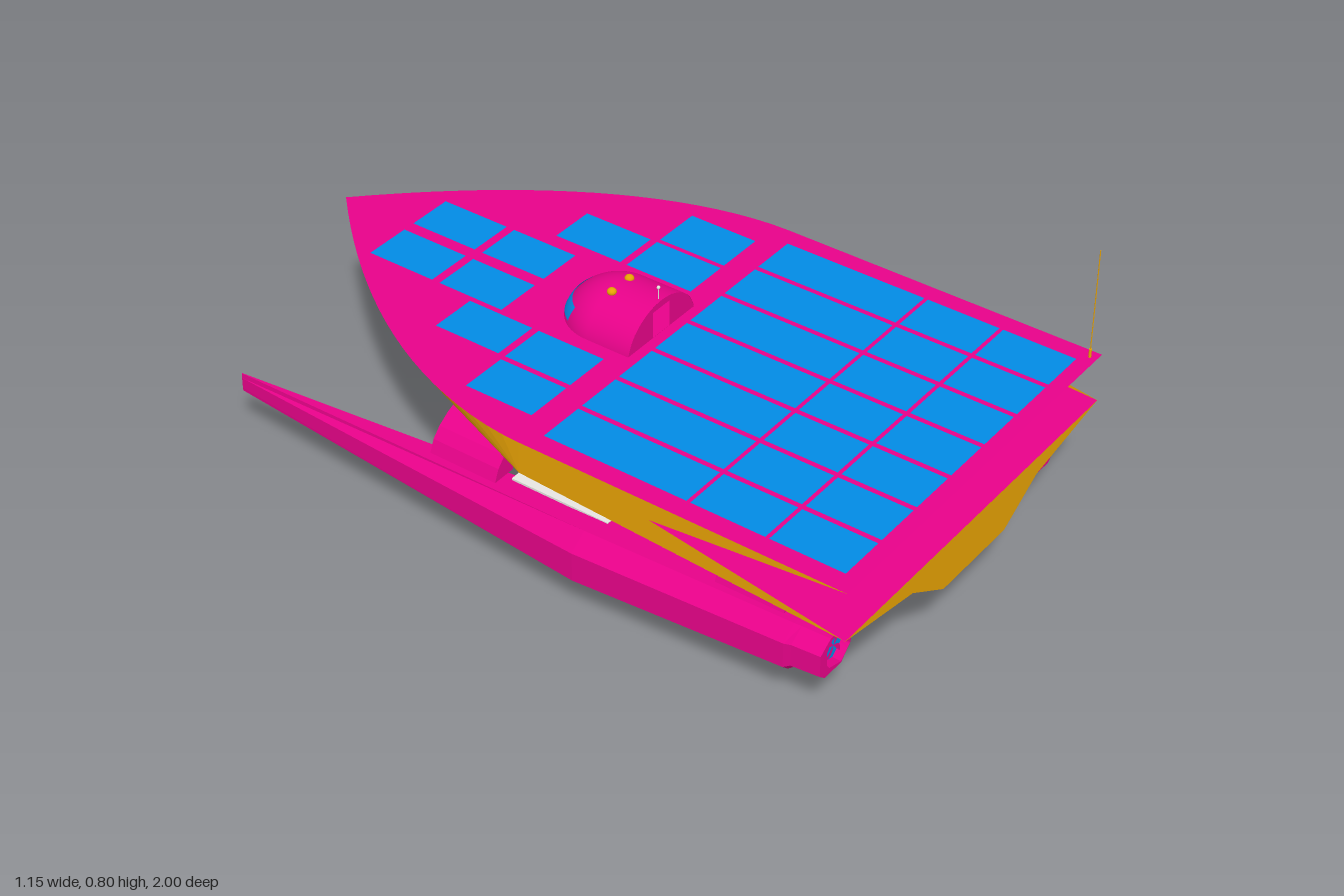
import * as THREE from 'three';

const material = (name, color) => {
  const m = new THREE.MeshStandardMaterial({ color, side: THREE.DoubleSide });
  m.name = name;
  return m;
};

export function createModel() {
  const magenta = material('magenta', 0xe8028a);
  const gold = material('gold', 0xf6ad04);
  const blue = material('blue', 0x028be4);
  const white = material('white', 0xe8e6e2);
  const model = new THREE.Group();

  const add = (name, geometry, mat, parent = model) => {
    const mesh = new THREE.Mesh(geometry, mat);
    mesh.name = name;
    parent.add(mesh);
    return mesh;
  };

  // Faceted skin between successive rows of points
  const sheet = (rows) => {
    const pos = [];
    for (let i = 0; i < rows.length - 1; i++) {
      for (let j = 0; j < rows[i].length - 1; j++) {
        const a = rows[i][j], b = rows[i][j + 1], c = rows[i + 1][j + 1], d = rows[i + 1][j];
        pos.push(...a, ...b, ...c, ...a, ...c, ...d);
      }
    }
    const g = new THREE.BufferGeometry();
    g.setAttribute('position', new THREE.Float32BufferAttribute(pos, 3));
    g.computeVertexNormals();
    return g;
  };
  const outline = (pts) => new THREE.Shape(pts.map(([x, y]) => new THREE.Vector2(x, y)));
  // Flat plate in the lengthwise upright plane, from [z, y] points
  const upright = (pts) => new THREE.ShapeGeometry(outline(pts.map(([z, y]) => [-z, y]))).rotateY(Math.PI / 2);

  // Deck outline: parallel aft sides, curved to a pointed bow
  const W = 0.577, DECK = 0.48, MID = 0.05, CHINE = 0.387, N = 20;
  const bowCurve = [];
  for (let i = 0; i <= N; i++) {
    const t = 1 - i / N;
    bowCurve.push([W * (1 - Math.pow(1 - t, 1.85)), -1 + (1 + MID) * t]);
  }
  const half = [[W, 1], ...bowCurve];
  const deckPts = [...half, ...half.slice(0, -1).reverse().map(([x, z]) => [-x, z])];
  const deck = new THREE.ShapeGeometry(outline(deckPts.map(([x, z]) => [x, -z])));
  add('deck', deck.rotateX(-Math.PI / 2), magenta).position.y = DECK;

  // Topsides: bow fan with a flat triangle below it, and aft walls notched open at the stern
  for (const s of [1, -1]) {
    const knuckle = [s * W, CHINE, MID];
    const edge = [...bowCurve.map(([x, z]) => [s * x, DECK, z]), [0, 0.28, -0.88]];
    add('bowSide', sheet([edge, edge.map(() => knuckle)]), gold);
    add('aftSide', upright([[MID, DECK], [1, DECK], [0.44, 0.427], [1, 0.338], [MID, CHINE]]), gold)
      .position.x = s * W;
  }

  // Lower deck: rises gently from the stern to the inside of the bow
  const lowerRows = [[W, 0.338, 1], [W, CHINE, MID], [0.3, 0.435, -0.45], [0, 0.476, -0.985]];
  add('lowerDeck', sheet(lowerRows.map(([x, y, z]) => [[-x, y, z], [x, y, z]])), magenta);

  // Lower hull from three sections running to the bow foot
  const section = (z, pts) => [
    ...pts.map(([x, y]) => [x, y, z]),
    ...pts.slice(0, -1).reverse().map(([x, y]) => [-x, y, z]),
  ];
  const stern = section(1, [[W, 0.338], [0.285, 0.285], [0.14, 0.2], [0, 0.2]]);
  const middle = section(0.28, [[W, 0.375], [0.285, 0.285], [0.135, 0.2], [0, 0.168]]);
  const waist = section(MID, [[W, CHINE], [0.265, 0.285], [0.12, 0.205], [0, 0.178]]);
  add('lowerHull', sheet([stern, middle, waist, stern.map(() => [0, 0.28, -0.88])]), gold);
  add('transom', sheet([stern, stern.map(([x]) => [x, 0.338, 1])]), gold);

  // Keel fin
  add('keelFin', upright([[0.635, 0], [0.65, 0.2], [0.53, 0.2]]), magenta);

  // Solar panels: [x0, x1, z0, z1]
  const panels = [
    [-0.167, -0.029, -0.77, -0.56], [0.008, 0.143, -0.77, -0.56],
    [-0.167, -0.029, -0.535, -0.33], [0.008, 0.143, -0.535, -0.33],
    [-0.32, -0.183, -0.42, -0.217], [0.188, 0.322, -0.428, -0.217],
    [-0.474, -0.336, -0.196, 0.01], [-0.32, -0.183, -0.196, 0.01],
    [0.188, 0.322, -0.196, 0.01], [0.336, 0.48, -0.196, 0.01],
  ];
  for (let i = -3; i <= 3; i++) {
    for (const [z0, z1] of [[0.085, 0.51], [0.521, 0.735], [0.746, 0.958]]) {
      panels.push([i * 0.151 - 0.068, i * 0.151 + 0.068, z0, z1]);
    }
  }
  for (const [x0, x1, z0, z1] of panels) {
    add('solarPanel', new THREE.PlaneGeometry(x1 - x0, z1 - z0).rotateX(-Math.PI / 2), blue)
      .position.set((x0 + x1) / 2, DECK + 0.0015, (z0 + z1) / 2);
  }

  // Cabin: barrel roof, rounded nose, end wall with a doorway, skirts below deck
  const cabin = new THREE.Group();
  cabin.name = 'cabin';
  cabin.position.y = 0.46;
  cabin.scale.y = 0.83;
  model.add(cabin);
  const R = 0.142;
  add('cabinRoof', new THREE.CylinderGeometry(R, R, 0.135, 32, 1, true, Math.PI / 2, Math.PI)
    .rotateX(Math.PI / 2), magenta, cabin).position.z = -0.0125;
  add('cabinNose', new THREE.SphereGeometry(R, 32, 16, Math.PI, Math.PI, 0, Math.PI / 2), magenta, cabin)
    .position.z = -0.08;
  add('windscreen', new THREE.SphereGeometry(R + 0.002, 32, 6, Math.PI * 1.18, Math.PI * 0.64, 0.96, 0.33), blue, cabin)
    .position.z = -0.08;
  for (const s of [1, -1]) {
    add('sideSkirt', upright([[-0.08, 0], [0.055, 0], [0.055, -0.054], [-0.08, -0.054]]), magenta, cabin)
      .position.x = s * R;
    add('noseSkirt', new THREE.CylinderGeometry(R, R, 0.054, 8, 1, true, s > 0 ? Math.PI / 2 : Math.PI * 1.5 - 0.45, 0.45),
      blue, cabin).position.set(0, -0.027, -0.08);
  }
  const wall = new THREE.Shape();
  wall.absarc(0, 0, R, 0, Math.PI, false);
  wall.lineTo(-R, -0.054);
  wall.absellipse(0, -0.054, R, 0.072, Math.PI, 0, true);
  wall.holes.push(outline([[-0.035, 0.025], [-0.035, 0.117], [0.035, 0.117], [0.035, 0.025]]));
  add('cabinWall', new THREE.ShapeGeometry(wall, 24), magenta, cabin).position.z = 0.054;
  for (const x of [-0.042, 0.032]) {
    const lamp = add('roofLamp', new THREE.SphereGeometry(0.013, 12, 8), gold);
    lamp.position.set(x, 0.576, -0.07);
    lamp.scale.y = 0.8;
  }
  add('roofMast', new THREE.CylinderGeometry(0.0015, 0.0015, 0.04, 6), white).position.set(0, 0.594, 0.045);
  add('roofMastTip', new THREE.SphereGeometry(0.005, 8, 6), white).position.set(0, 0.612, 0.045);

  // Whip antenna on the stern corner
  add('antennaBase', new THREE.CylinderGeometry(0.004, 0.004, 0.025, 8), gold).position.set(0.55, 0.492, 0.98);
  add('antenna', new THREE.CylinderGeometry(0.0015, 0.0015, 0.32, 6), gold).position.set(0.55, 0.64, 0.98);

  // Outrigger floats, struts and propulsors
  const floatPts = [[0.415, 0.238], [0.515, 0.238], [0.567, 0.2], [0.567, 0.115],
    [0.54, 0.09], [0.452, 0.09], [0.41, 0.138], [0.389, 0.197], [0.415, 0.238]];
  const ring = (s, z, top, bottom, centre = 0.487, width = 1) => floatPts.map(([x, y]) =>
    [s * (centre + (x - 0.487) * width), bottom + (top - bottom) * (y - 0.09) / 0.148, z]);
  const outer = [[0.49, 0.23], [0.475, 0.265], [0.45, 0.292], [0.415, 0.315], [0.37, 0.335], [0.32, 0.345]];
  const inner = [[0.32, 0.305], [0.365, 0.297], [0.395, 0.275], [0.42, 0.23]];

  for (const s of [1, -1]) {
    const rig = new THREE.Group();
    rig.name = s > 0 ? 'leftOutrigger' : 'rightOutrigger';
    model.add(rig);

    // Float with an open duct sunk into its after end
    const PX = s * 0.458, PY = 0.19;
    const end = ring(s, 0.91, 0.243, 0.135, 0.472, 0.8);
    const duct = (z) => end.map(([x, y]) => {
      const k = 0.053 / Math.hypot(x - PX, y - PY);
      return [PX + (x - PX) * k, PY + (y - PY) * k, z];
    });
    add('float', sheet([
      duct(0.87), duct(0.91), end, ring(s, 0.83, 0.243, 0.132, 0.474, 0.84), ring(s, 0.81, 0.243, 0.116, 0.475, 0.86),
      ring(s, 0.2, 0.238, 0.09), ring(s, -0.955, 0.2, 0.145, 0.492, 0.02),
    ]), magenta, rig);

    // Curved struts with coloured facing on some sides
    for (const [name, z0, z1] of [['foreStrut', -0.31, -0.1], ['aftStrut', 0.57, 0.77]]) {
      const shape = outline([...outer, ...inner].map(([x, y]) => [s * x, y]));
      add(name, new THREE.ExtrudeGeometry(shape, { depth: z1 - z0, bevelEnabled: false }), magenta, rig).position.z = z0;
      const facing = (pts, a, b, d) => sheet([a, b].map((z) => pts.map(([x, y]) => [s * (x + d), y + d, z])));
      if (s > 0) add('strutFacing', facing(outer, z0, name === 'aftStrut' ? 0.68 : z1, 0.002), white, rig);
      else if (name === 'aftStrut') add('strutLining', facing(inner, z0, 0.68, -0.002), gold, rig);
    }
    if (s < 0) {
      add('floatHatch', new THREE.BoxGeometry(0.04, 0.006, 0.3), white, rig).position.set(-0.44, 0.238, 0.08);
    }

    // Propulsor disc with four curved blades
    const prop = new THREE.Group();
    prop.name = 'propulsor';
    prop.position.set(PX, PY, 0.885);
    rig.add(prop);
    add('propulsorDisc', new THREE.CircleGeometry(0.053, 24), blue, prop);
    const blade = new THREE.Shape();
    blade.moveTo(0, 0);
    blade.quadraticCurveTo(0.006, 0.032, 0.04, 0.027);
    blade.quadraticCurveTo(0.026, 0.014, 0, 0);
    for (let i = 0; i < 4; i++) {
      const b = add('propellerBlade', new THREE.ShapeGeometry(blade, 6), magenta, prop);
      b.position.z = 0.01;
      b.rotation.z = i * Math.PI / 2 + 0.1;
    }
  }
  return model;
}
